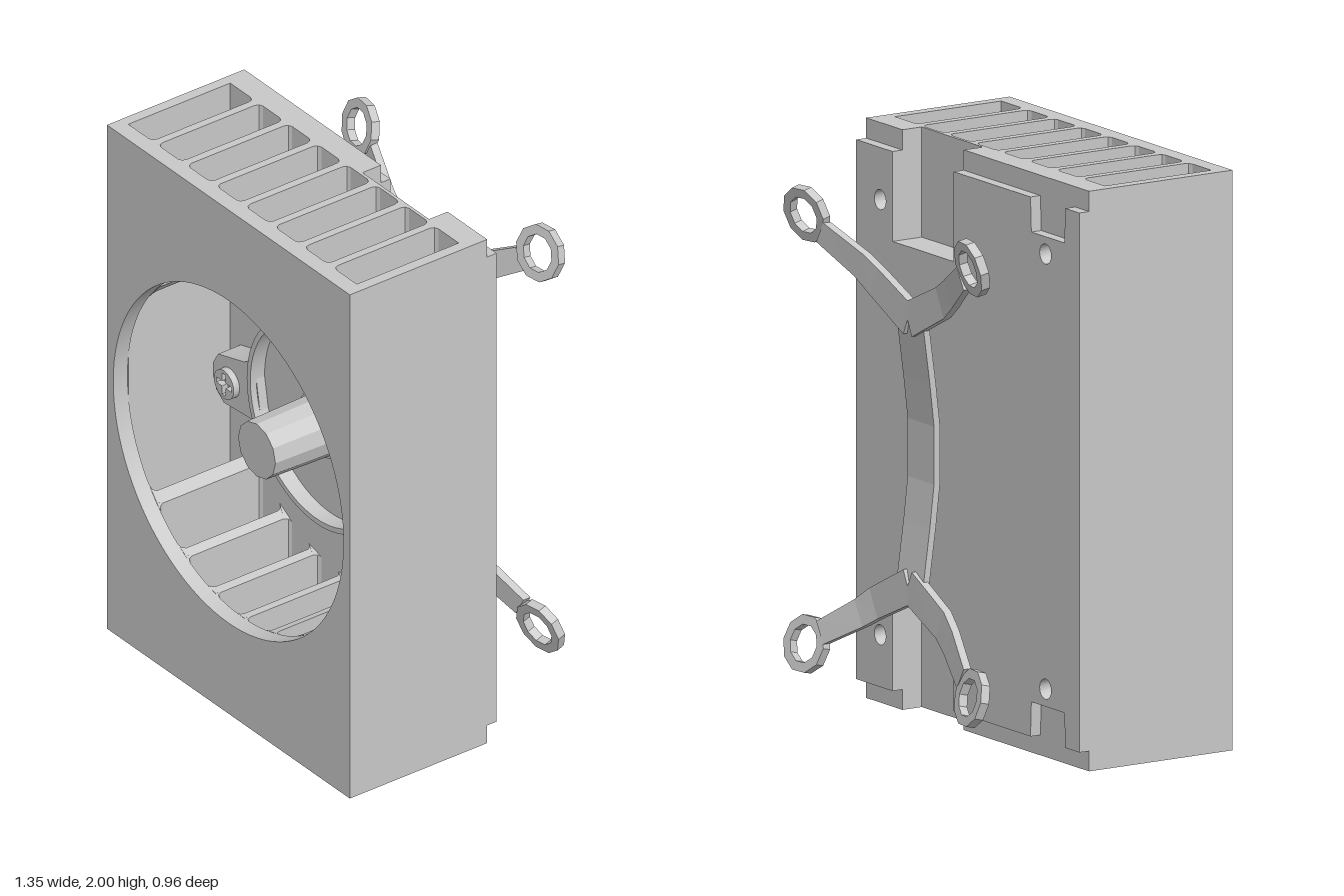
import * as THREE from 'three';
import { toCreasedNormals } from 'three/addons/utils/BufferGeometryUtils.js';

const grey = new THREE.MeshStandardMaterial({ color: 0xc8c8c8 });
grey.name = 'grey';

const W = 0.675, CAVITY = 0.64, FLOOR = -0.01;

export function createModel() {
  const model = new THREE.Group();
  model.name = 'fanHousing';

  const add = (name, geometry, parent = model) => {
    const mesh = new THREE.Mesh(geometry, grey);
    mesh.name = name;
    parent.add(mesh);
    return mesh;
  };
  const polygon = (pts) => new THREE.Shape(pts.map(([x, y]) => new THREE.Vector2(x, y)));
  const circle = (x, y, r) => new THREE.Path().absarc(x, y, r, 0, Math.PI * 2, true);
  // Extrudes an x/y shape between two depths
  const slab = (shape, z0, z1, curveSegments = 32) => toCreasedNormals(
    new THREE.ExtrudeGeometry(shape, { depth: z1 - z0, bevelEnabled: false, curveSegments }).translate(0, 0, z0), 0.5);
  const box = (w, h, d, x, y, z) => new THREE.BoxGeometry(w, h, d).translate(x, y, z);

  // Front plate with the round opening
  const front = polygon([[-W, 0], [W, 0], [W, 2], [-W, 2]]);
  front.holes.push(circle(0, 1, CAVITY));
  add('frontPlate', slab(front, 0.42, 0.48, 48));

  // Side walls
  for (const s of [-1, 1]) add('sideWall', box(0.04, 2, 0.43, s * (W - 0.02), 1, 0.205));

  // Back wall in layers: floor, notched layer, raised layer
  add('cavityFloor', box(2 * W, 2, 0.012, 0, 1, FLOOR - 0.006));
  const backOutline = (top, small) => {
    const upper = [[W, top], [0.455, top], [0.455, 1.62], [0.085, 1.62], [0.085, top]];
    if (small) upper.push([-0.38, top], [-0.385, top - 0.12], [-0.585, top - 0.12], [-0.59, top]);
    upper.push([-W, top]);
    const lower = upper.map(([x, y]) => [x, 2 - y]).reverse();
    const shape = polygon([...upper, ...lower]);
    for (const x of [-0.47, 0.53]) for (const y of [0.25, 1.75]) shape.holes.push(circle(x, y, 0.035));
    return shape;
  };
  add('backWall', slab(backOutline(2, false), -0.1, -0.022, 8));
  add('raisedBack', slab(backOutline(1.93, true), -0.14, -0.1, 8));

  // Cooling fins with flared roots, cut along the round cavity
  const r = 0.02, t = 0.015;
  for (let i = -3; i <= 3; i++) {
    const side = [[t + r, -0.42], [t + 0.3 * r, -0.42 + 0.3 * r], [t, -0.42 + r],
      [t, -FLOOR - r], [t + 0.3 * r, -FLOOR - 0.3 * r], [t + r, -FLOOR]];
    const shape = polygon([...side, ...side.map(([x, y]) => [-x, y]).reverse()]
      .map(([x, y]) => [x + i * 0.1625, y]));
    const geo = new THREE.ExtrudeGeometry(shape, { depth: 1, bevelEnabled: false }).rotateX(-Math.PI / 2);
    const p = geo.attributes.position;
    for (let k = 0; k < p.count; k++) {
      const x = p.getX(k);
      if (p.getY(k) > 0.5) p.setY(k, 1 - Math.sqrt(CAVITY * CAVITY - x * x));
    }
    geo.computeVertexNormals();
    add('lowerFin', geo);
    add('upperFin', geo.clone().rotateZ(Math.PI).translate(0, 2, 0));
  }

  // Motor seat: rim, recessed disc, shaft and its collar
  const motor = new THREE.Group();
  motor.name = 'motor';
  motor.position.y = 1;
  model.add(motor);
  const rim = new THREE.Shape().absarc(0, 0, 0.385, 0, Math.PI * 2);
  rim.holes.push(circle(0, 0, 0.365));
  add('motorRim', slab(rim, FLOOR, 0.11), motor);
  add('motorDisc', new THREE.CylinderGeometry(0.37, 0.37, 0.06, 48).rotateX(Math.PI / 2).translate(0, 0, 0.02), motor);
  const turned = (r0, r1, sides, z0, z1) => toCreasedNormals(new THREE.CylinderGeometry(r1, r0, z1 - z0, sides)
    .rotateX(Math.PI / 2).translate(0, 0, (z0 + z1) / 2), 0.3);
  add('shaft', turned(0.112, 0.104, 12, 0.04, 0.36), motor);
  add('shaftCollar', turned(0.128, 0.122, 10, 0.04, 0.1), motor);

  // Cable outlet beside the motor
  add('cableOutlet', slab(polygon([[-0.35, 0.2], [-0.17, 0.36], [-0.28, 0.515], [-0.46, 0.37]]), FLOOR, 0.06), motor);

  // Three mounting tabs with cross-head screws
  const tab = polygon([[0.36, -0.13], [0.42, -0.105], [0.57, -0.09], [0.605, -0.05], [0.615, 0],
    [0.605, 0.05], [0.57, 0.09], [0.42, 0.105], [0.36, 0.13]]);
  const a = 0.01, b = 0.042;
  const head = new THREE.Shape().absarc(0, 0, 0.055, 0, Math.PI * 2);
  head.holes.push(polygon([[a, a], [a, b], [-a, b], [-a, a], [-b, a], [-b, -a],
    [-a, -a], [-a, -b], [a, -b], [a, -a], [b, -a], [b, a]]));
  for (const deg of [70, 190, 310]) {
    const mount = new THREE.Group();
    mount.name = 'motorMount';
    mount.rotation.z = THREE.MathUtils.degToRad(deg);
    motor.add(mount);
    add('mountTab', slab(tab, FLOOR, 0.085), mount);
    const screw = add('screwHead', slab(head, 0.08, 0.11, 12), mount);
    screw.position.x = 0.52;
    screw.rotation.z = -mount.rotation.z;
  }

  // Flat bar through [x, y, z, halfWidth] stations
  const bar = (path, thick) => {
    const pos = [], index = [], n = path.length;
    path.forEach(([x, y, z, w], i) => {
      const p = path[Math.max(i - 1, 0)], q = path[Math.min(i + 1, n - 1)];
      const d = new THREE.Vector2(q[0] - p[0], q[1] - p[1]).normalize();
      for (const [u, v] of [[-1, -1], [1, -1], [1, 1], [-1, 1]])
        pos.push(x + d.y * u * w, y - d.x * u * w, z + v * thick / 2);
    });
    for (let i = 0; i < n - 1; i++) for (let k = 0; k < 4; k++) {
      const p = i * 4 + k, q = i * 4 + (k + 1) % 4;
      index.push(p, p + 4, q, q, p + 4, q + 4);
    }
    const e = (n - 1) * 4;
    index.push(0, 1, 2, 0, 2, 3, e, e + 2, e + 1, e, e + 3, e + 2);
    const geo = new THREE.BufferGeometry();
    geo.setAttribute('position', new THREE.Float32BufferAttribute(pos, 3));
    geo.setIndex(index);
    const flat = geo.toNonIndexed();
    flat.computeVertexNormals();
    return flat;
  };

  // Rear spring bracket: bowed spine, four arms and eyelets
  const bracket = new THREE.Group();
  bracket.name = 'springBracket';
  bracket.position.set(0.022, 1, 0);
  model.add(bracket);
  const bow = [[-0.5, -0.354], [-0.25, -0.32], [-0.1, -0.303], [0.1, -0.303], [0.25, -0.32], [0.5, -0.354]];
  add('spine', bar(bow.map(([y, z]) => [0, y, z, 0.08]), 0.024), bracket);
  add('spineRib', bar(bow.map(([y, z]) => [0, y * 0.94, z + 0.01, 0.045]), 0.024), bracket);

  const eyelet = new THREE.Shape().absarc(0, 0, 0.1, 0, Math.PI * 2);
  eyelet.holes.push(circle(0, 0, 0.066));
  const armPath = [[0, 0.46, -0.354, 0.06], [0.2, 0.555, -0.358, 0.055], [0.27, 0.6, -0.372, 0.05], [0.425, 0.69, -0.425, 0.042]];
  for (const sx of [-1, 1]) for (const sy of [-1, 1]) {
    add('arm', bar(armPath.map(([x, y, z, w]) => [sx * x, sy * y, z, w]), 0.03), bracket);
    const ring = add('eyelet', slab(eyelet, -0.016, 0.016, 5), bracket);
    ring.position.set(sx * 0.5, sy * 0.742, -0.442);
    ring.quaternion.setFromUnitVectors(new THREE.Vector3(0, 0, 1),
      new THREE.Vector3(sx * 0.15, sy * 0.24, 1).normalize());
  }
  return model;
}
